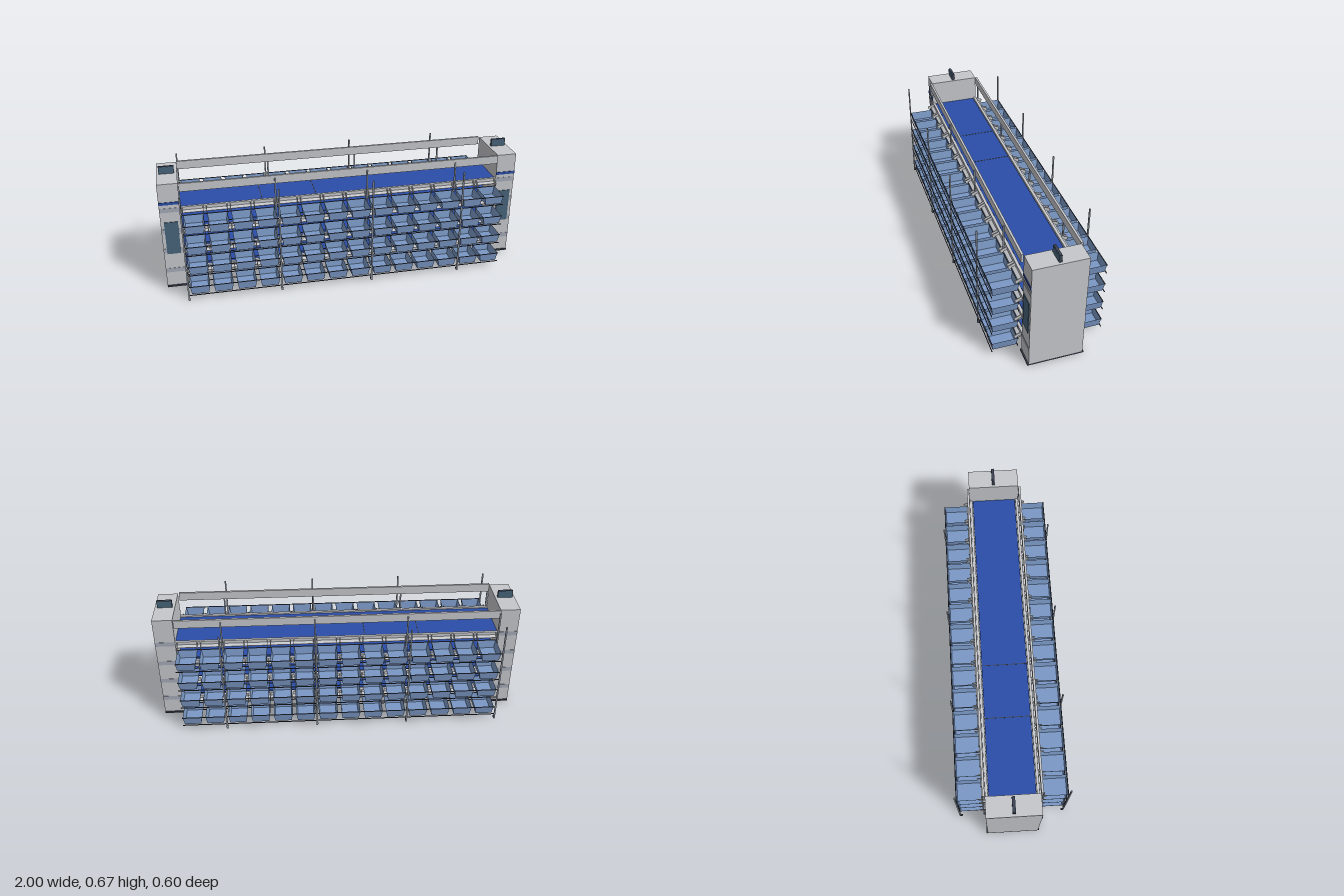
import * as THREE from 'three';

const mat = (name, color, side = THREE.FrontSide) => {
  const m = new THREE.MeshStandardMaterial({ side });
  m.color.set(color);
  m.name = name;
  return m;
};

export function createModel() {
  const grey = mat('light grey', 0xc6c7cb);
  const band = mat('blue grey', 0xa3a9b6);
  const steel = mat('post steel', 0x98a0ac);
  const dark = mat('dark slate', 0x3b4252);
  const teal = mat('screen teal', 0x46647a);
  const blue = mat('belt blue', 0x2a4da8);
  const binBlue = mat('bin blue', 0x7b99c6, THREE.DoubleSide);

  const root = new THREE.Group();
  root.name = 'sortingRack';

  const add = (parent, name, geometry, material) => {
    const mesh = new THREE.Mesh(geometry, material);
    mesh.name = name;
    parent.add(mesh);
    return mesh;
  };
  // Box given by its two extreme corners
  const box = (parent, name, material, x0, x1, y0, y1, z0, z1) => {
    const m = add(parent, name, new THREE.BoxGeometry(x1 - x0, y1 - y0, Math.abs(z1 - z0)), material);
    m.position.set((x0 + x1) / 2, (y0 + y1) / 2, (z0 + z1) / 2);
    return m;
  };

  const levels = [0.083, 0.205, 0.325, 0.449]; // rim height of each row of bins
  const bins = 14, half = 0.888, pitch = (2 * half) / bins;

  // End towers
  for (const s of [-1, 1]) {
    const tower = new THREE.Group();
    tower.name = s > 0 ? 'leftTower' : 'rightTower';
    tower.position.x = s * 0.945;
    root.add(tower);
    box(tower, 'cabinet', grey, -0.055, 0.055, 0.016, 0.63, -0.143, 0.143);
    box(tower, 'plinth', dark, -0.055, 0.055, 0.007, 0.016, -0.15, 0.15);
    box(tower, 'sign', dark, -0.041, 0.041, 0.63, 0.672, -0.006, 0.006);
    for (const z of [-1, 1])
      box(tower, 'signFace', teal, -0.041, 0.041, 0.63, 0.67, z * 0.006, z * 0.008);
    box(tower, 'screen', teal, -0.037, 0.037, 0.215, 0.407, 0.143, 0.147);
    box(tower, 'stripe', blue, -0.055, 0.055, 0.51, 0.525, 0.143, 0.1465);
    for (const y of levels)
      for (const z of [-1, 1])
        box(tower, 'band', band, -0.055, 0.055, y + 0.016, y + 0.041, z * 0.143, z * 0.1445);
  }

  // Belt decks, one for each level
  for (const y of levels) box(root, 'belt', blue, -0.89, 0.89, y + 0.024, y + 0.034, -0.125, 0.125);
  for (const x of [-0.45, -0.15])
    box(root, 'beltSeam', dark, x - 0.002, x + 0.002, 0.483, 0.484, -0.125, 0.125);

  // Open tapered bin: a box without its lid, narrowed at the bottom
  const binGeo = (() => {
    const g = new THREE.BoxGeometry(0.107, 0.049, 0.138);
    const idx = Array.from(g.index.array).filter((_, i) => i < 12 || i >= 18);
    g.setIndex(idx);
    g.clearGroups();
    const p = g.attributes.position;
    for (let i = 0; i < p.count; i++)
      if (p.getY(i) < 0) p.setXYZ(i, p.getX(i) * 0.85, p.getY(i), p.getZ(i) * 0.91);
    const flat = g.toNonIndexed();
    flat.computeVertexNormals();
    return flat;
  })();

  // Sloped chute cheek, drawn in (z, y) and extruded along x
  const cheekGeo = (() => {
    const shape = new THREE.Shape([
      [0.143, 0.020], [0.176, 0.005], [0.182, 0.024], [0.143, 0.041],
    ].map(([z, y]) => new THREE.Vector2(z, y)));
    const g = new THREE.ExtrudeGeometry(shape, { depth: 0.004, bevelEnabled: false });
    g.rotateY(-Math.PI / 2);
    g.translate(0.002, 0, 0);
    return g;
  })();

  const footGeo = new THREE.CylinderGeometry(0.008, 0.008, 0.01, 6).rotateZ(Math.PI / 2);

  // Each side is built facing +z; the back one is turned by placing z with s
  for (const s of [1, -1]) {
    const side = new THREE.Group();
    side.name = s > 0 ? 'frontRack' : 'backRack';
    root.add(side);

    box(side, 'topBeam', grey, -0.89, 0.885, 0.585, 0.632, s * 0.143, s * 0.155);

    for (const y of levels) {
      box(side, 'deckRail', grey, -0.89, 0.89, y + 0.018, y + 0.041, s * 0.128, s * 0.143);
      const lip = box(side, 'chuteFloor', grey, -half, half, y + 0.017, y + 0.02, s * 0.143, s * 0.163);
      lip.rotation.x = s * 0.42;
      // Horizontal rods that carry the bins
      for (const z of [0.159, 0.296])
        for (const ry of [y - 0.002, y - 0.052])
          box(side, 'rod', dark, -half, half - 0.008, ry - 0.002, ry + 0.002, s * (z - 0.002), s * (z + 0.002));

      for (let i = 0; i <= bins; i++) {
        const edge = -half + i * pitch;
        for (const dx of [-0.009, 0.009]) {
          if (Math.abs(edge + dx) > half) continue;
          const cheek = add(side, 'chuteCheek', cheekGeo, grey);
          cheek.position.set(edge + dx, y, 0);
          if (s < 0) cheek.rotation.y = Math.PI;
        }
        if (i < bins)
          add(side, 'bin', binGeo, binBlue).position.set(edge + pitch / 2, y - 0.0245, s * 0.227);
      }
    }

    // Upright posts with feet, one pair every four bins
    for (let i = 0; i < 4; i++) {
      const x = -half + i * 4 * pitch;
      for (const z of [0.1585, 0.2965]) {
        box(side, 'post', steel, x - 0.004, x + 0.004, 0, 0.616, s * (z - 0.0035), s * (z + 0.0035));
        add(side, 'foot', footGeo, dark).position.set(x, 0.009, s * (z - 0.006));
      }
    }
  }
  return root;
}
